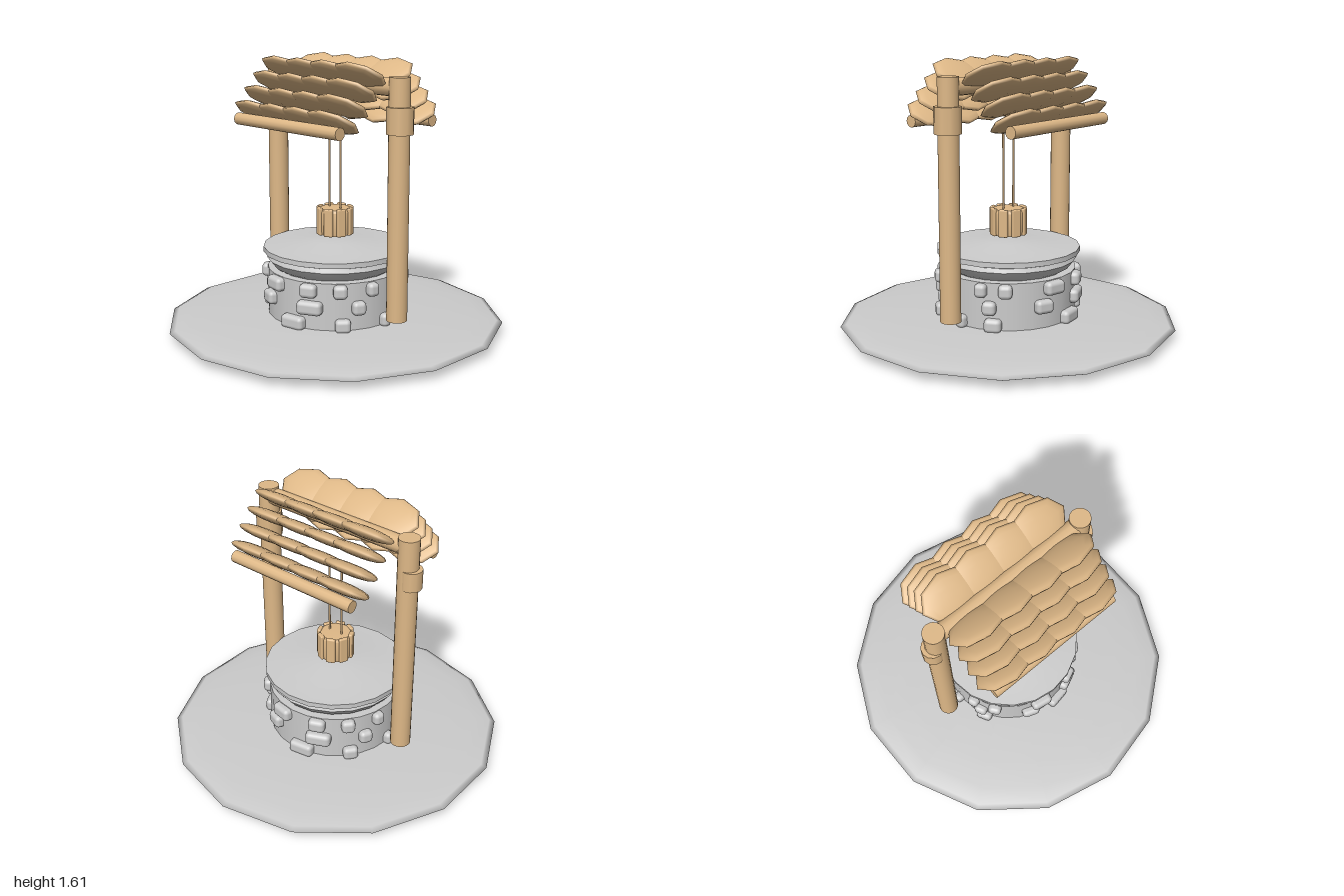
import * as THREE from 'three';
import { toCreasedNormals } from 'three/addons/utils/BufferGeometryUtils.js';
import { RoundedBoxGeometry } from 'three/addons/geometries/RoundedBoxGeometry.js';

const stone = new THREE.MeshStandardMaterial({ color: 0xcccccc });
const wood = new THREE.MeshStandardMaterial({ color: 0xdeb887 });

export function createModel() {
  const model = new THREE.Group();

  const add = (name, geometry, material, x = 0, y = 0, z = 0, parent = model) => {
    const mesh = new THREE.Mesh(geometry, material);
    mesh.name = name;
    mesh.position.set(x, y, z);
    parent.add(mesh);
    return mesh;
  };
  const lathe = (points, segments) => toCreasedNormals(
    new THREE.LatheGeometry(points.map(([r, y]) => new THREE.Vector2(r, y)), segments), 0.6);
  const rod = (radius, length, sides = 16) =>
    new THREE.CylinderGeometry(radius, radius, length, sides);

  // Lens-shaped ground slab with fourteen sides, one corner on the z axis
  const slab = new THREE.SphereGeometry(1, 14, 12);
  slab.rotateY(Math.PI / 2);
  slab.scale(1, 0.055, 1);
  add('groundSlab', slab, stone, 0, 0.055, 0);

  // Round wall, flared rim and shallow lid
  add('wellWall', rod(0.4, 0.32, 24), stone, 0, 0.22, 0);
  add('rim', lathe([[0, 0.365], [0.33, 0.37], [0.37, 0.395], [0.405, 0.44],
    [0.395, 0.465], [0.37, 0.48], [0, 0.48]], 20), stone);
  add('lid', lathe([[0, 0.475], [0.425, 0.475], [0.425, 0.505], [0.25, 0.513],
    [0.12, 0.53], [0, 0.535]], 20), stone);

  // Stones set in the wall: height, then [angle in degrees, width]; each repeats half a turn on
  const courses = [
    [0.335, [[24, 0.1], [50, 0.08], [77, 0.07], [108, 0.07], [128, 0.08], [170, 0.13]]],
    [0.235, [[25, 0.15], [65, 0.08], [115, 0.08], [160, 0.11]]],
    [0.135, [[10, 0.15], [52, 0.09], [90, 0.06], [118, 0.1]]],
  ];
  const stones = new THREE.Group();
  stones.name = 'wallStones';
  model.add(stones);
  for (const [y, row] of courses) {
    for (const [degrees, width] of row) {
      for (const turn of [0, Math.PI]) {
        const a = THREE.MathUtils.degToRad(degrees) + turn;
        const block = add('wallStone', new RoundedBoxGeometry(width, 0.08, 0.08, 2, 0.025), stone,
          0.4 * Math.sin(a), y, 0.4 * Math.cos(a), stones);
        block.rotation.y = a;
      }
    }
  }

  // Posts with their collars
  for (const side of [-1, 1]) add('post', rod(0.06, 1.375, 20), wood, side * 0.5, 0.8425, 0);
  add('leftCollar', rod(0.078, 0.15, 10), wood, 0.505, 1.295, 0);
  add('rightCollar', rod(0.063, 0.115, 12), wood, -0.522, 1.293, 0);

  // Ridge beam and the two eave rails
  const beam = (name, radius, length, y, z) => {
    add(name, rod(radius, length, 12), wood, 0, y, z).rotation.z = Math.PI / 2;
  };
  beam('ridgeBeam', 0.05, 0.96, 1.47, 0);
  for (const side of [-1, 1]) beam('eaveRail', 0.036, 0.84, 1.25, side * 0.373);

  // Roof: four rows of eight-sided lens shingles on each slope, outer edges tilted up
  const shingle = new THREE.SphereGeometry(1, 8, 8);
  shingle.scale(0.18, 0.033, 0.13);
  for (const side of [-1, 1]) {
    const slope = new THREE.Group();
    slope.name = side > 0 ? 'frontRoof' : 'backRoof';
    model.add(slope);
    for (let row = 0; row < 4; row++) {
      for (let i = 0; i < 4; i++) {
        const tile = add('shingle', shingle, wood, -0.3 + 0.2 * i,
          1.535 - 0.08 * row, side * (0.108 + 0.069 * row), slope);
        tile.rotation.x = -side * 0.58;
      }
    }
  }

  // Bucket with raised staves, hung on two ropes
  const bucket = new THREE.Group();
  bucket.name = 'bucket';
  bucket.position.y = 0.57;
  model.add(bucket);
  add('bucketBody', lathe([[0, 0.003], [0.097, 0.003], [0.1, 0.02], [0.1, 0.14],
    [0.09, 0.157], [0, 0.162]], 20), wood, 0, 0, 0, bucket);
  for (let i = 0; i < 8; i++) {
    const a = (i + 0.5) * Math.PI / 4;
    const stave = add('stave', new RoundedBoxGeometry(0.055, 0.165, 0.025, 2, 0.008), wood,
      0.097 * Math.sin(a), 0.0825, 0.097 * Math.cos(a), bucket);
    stave.rotation.y = a;
  }
  for (const side of [-1, 1]) add('rope', rod(0.006, 0.49, 8), wood, side * 0.045, 0.96, 0);

  return model;
}
